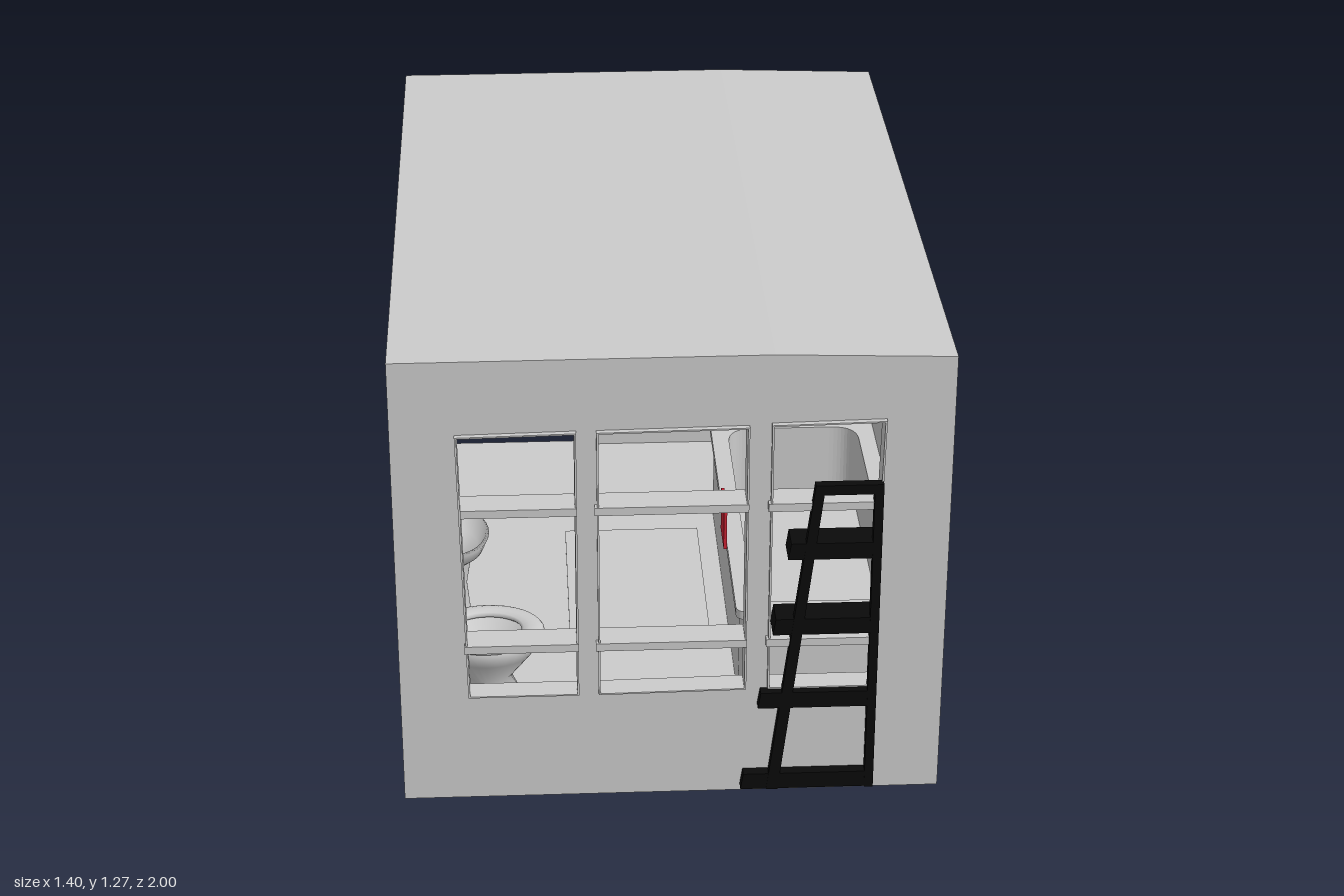
import * as THREE from 'three';
import { RoundedBoxGeometry } from 'three/addons/geometries/RoundedBoxGeometry.js';

const grey = new THREE.MeshStandardMaterial({ color: 0xcccccc, side: THREE.DoubleSide });
const black = new THREE.MeshStandardMaterial({ color: 0x0a0a0a });
const red = new THREE.MeshStandardMaterial({ color: 0xcc2233 });

function add(parent, name, geometry, material = grey) {
  const mesh = new THREE.Mesh(geometry, material);
  mesh.name = name;
  parent.add(mesh);
  return mesh;
}

function group(parent, name) {
  const g = new THREE.Group();
  g.name = name;
  parent.add(g);
  return g;
}

// Box given by its minimum and maximum on each axis
function box(parent, name, [x0, x1], [y0, y1], [z0, z1], material) {
  const mesh = add(parent, name, new THREE.BoxGeometry(x1 - x0, y1 - y0, z1 - z0), material);
  mesh.position.set((x0 + x1) / 2, (y0 + y1) / 2, (z0 + z1) / 2);
  return mesh;
}

// Outline in x and y with holes, extruded from z0 to z1
function panel(parent, name, outline, holes, z0, z1, material) {
  const v = (pts) => pts.map(([x, y]) => new THREE.Vector2(x, y));
  const shape = new THREE.Shape(v(outline));
  holes.forEach((h) => shape.holes.push(new THREE.Path(v(h))));
  const geometry = new THREE.ExtrudeGeometry(shape, { depth: z1 - z0, bevelEnabled: false });
  geometry.translate(0, 0, z0);
  return add(parent, name, geometry, material);
}

function lathe(parent, name, points) {
  return add(parent, name, new THREE.LatheGeometry(points.map(([r, y]) => new THREE.Vector2(r, y)), 32));
}

// Window panes, slightly out of square like the opening
const panes = [
  [[-0.525, 0.315], [-0.24, 0.315], [-0.24, 1.075], [-0.54, 1.07]],
  [[-0.19, 0.315], [0.19, 0.32], [0.19, 1.08], [-0.19, 1.075]],
  [[0.245, 0.32], [0.515, 0.32], [0.53, 1.09], [0.245, 1.085]],
];

function buildShell(model) {
  const shell = group(model, 'roomShell');
  const outline = [[-0.7, 0.01], [0.7, 0.01], [0.7, 1.255], [0.25, 1.27], [-0.7, 1.27]];
  panel(shell, 'frontWall', outline, panes, 0.93, 0.97);
  panel(shell, 'backWall', outline, [[[-0.635, 0.015], [-0.19, 0.015], [-0.19, 1.11], [-0.635, 1.11]]], -1, -0.975);
  box(shell, 'leftWall', [0.685, 0.7], [0.01, 1.255], [-0.99, 0.968]);
  box(shell, 'rightWall', [-0.7, -0.685], [0.01, 1.265], [-0.99, 0.968]);
  box(shell, 'floor', [-0.7, 0.7], [0, 0.015], [-0.998, 0.968]);
  panel(shell, 'roof', [[-0.7, 1.255], [0.25, 1.255], [0.7, 1.245], [0.7, 1.257], [0.25, 1.272], [-0.7, 1.27]], [], -0.999, 0.97);
}

function buildWindow(model) {
  const win = group(model, 'window');
  for (const pane of panes) {
    // Thin lining around each pane
    const cx = (pane[0][0] + pane[1][0]) / 2;
    const inner = pane.map(([x, y]) => [x + (x < cx ? 0.005 : -0.005), y + (y < 0.6 ? 0.004 : -0.004)]);
    panel(win, 'paneFrame', pane, [inner], 0.92, 0.985);
    for (const y of [0.45, 0.845]) {
      box(win, 'glazingBar', [pane[0][0] - 0.006, pane[1][0]], [y, y + 0.022], [0.91, 0.99]);
    }
  }
}

function buildLadder(model) {
  const ladder = group(model, 'ladder');
  box(ladder, 'straightRail', [0.503, 0.526], [0.02, 0.92], [0.975, 1], black);
  panel(ladder, 'slantedRail', [[0.245, 0.02], [0.275, 0.02], [0.38, 0.92], [0.355, 0.92]], [], 0.975, 1, black);
  box(ladder, 'topRung', [0.355, 0.526], [0.894, 0.921], [0.975, 1], black);
  // Steps get wider toward the ground
  [[0.29, 0.71], [0.255, 0.49], [0.22, 0.27], [0.178, 0.022]].forEach(([x, y]) => {
    panel(ladder, 'step', [[x, y], [0.526, y], [0.526, y + 0.046], [x + 0.007, y + 0.046]], [], y > 0.4 ? 0.92 : 0.95, 0.999, black);
  });
}

function buildToilet(model) {
  const toilet = group(model, 'toilet');
  const bowl = lathe(toilet, 'bowl', [[0.06, 0], [0.065, 0.03], [0.05, 0.07], [0.1, 0.15], [0.12, 0.2], [0.09, 0.2], [0.05, 0.12], [0, 0.1]]);
  bowl.scale.x = 1.25;
  const seat = add(toilet, 'seat', new THREE.TorusGeometry(0.1, 0.025, 10, 36));
  seat.rotation.x = Math.PI / 2;
  seat.scale.set(1.25, 1, 0.5);
  seat.position.y = 0.21;
  const lid = add(toilet, 'raisedLid', new THREE.CylinderGeometry(0.125, 0.125, 0.02, 36));
  lid.rotation.z = Math.PI / 2;
  lid.scale.x = 1.25;
  lid.position.set(-0.1, 0.36, 0);
  const tank = add(toilet, 'tank', new RoundedBoxGeometry(0.085, 0.26, 0.27, 3, 0.015));
  tank.position.set(-0.157, 0.33, 0);
  toilet.position.set(-0.48, 0.015, 0.5);
}

function buildSink(model) {
  const sink = group(model, 'sink');
  lathe(sink, 'pedestal', [[0.06, 0], [0.045, 0.03], [0.035, 0.13], [0.05, 0.22]]);
  const basin = lathe(sink, 'basin', [[0.04, 0.2], [0.1, 0.25], [0.12, 0.29], [0.11, 0.295], [0.08, 0.25], [0, 0.23]]);
  basin.scale.set(0.85, 1, 1.2);
  const back = add(sink, 'basinBack', new RoundedBoxGeometry(0.05, 0.07, 0.26, 3, 0.012));
  back.position.set(-0.085, 0.265, 0);
  const path = new THREE.CatmullRomCurve3([[-0.085, 0.29], [-0.08, 0.34], [-0.05, 0.35], [-0.03, 0.33]].map(([x, y]) => new THREE.Vector3(x, y, 0)));
  add(sink, 'tap', new THREE.TubeGeometry(path, 16, 0.008, 10));
  for (const z of [-0.05, 0.05]) {
    const knob = add(sink, 'tapHandle', new THREE.CylinderGeometry(0.012, 0.01, 0.03, 12));
    knob.position.set(-0.085, 0.31, z);
  }
  sink.position.set(-0.575, 0.015, 0.1);
  // Framed mirror on the wall above the basin
  box(model, 'mirror', [-0.686, -0.675], [0.45, 0.78], [-0.06, 0.22]);
}

function buildBath(model) {
  const bath = group(model, 'bath');
  const rect = (s, w, h, r) => s.moveTo(-w + r, -h).lineTo(w - r, -h).quadraticCurveTo(w, -h, w, -h + r)
    .lineTo(w, h - r).quadraticCurveTo(w, h, w - r, h).lineTo(-w + r, h).quadraticCurveTo(-w, h, -w, h - r)
    .lineTo(-w, -h + r).quadraticCurveTo(-w, -h, -w + r, -h);
  const ring = (name, w, h, wall, height, y) => {
    const shape = rect(new THREE.Shape(), w, h, 0.03);
    shape.holes.push(rect(new THREE.Path(), w - wall, h - wall, 0.08));
    const mesh = add(bath, name, new THREE.ExtrudeGeometry(shape, { depth: height, bevelEnabled: false }));
    mesh.rotation.x = -Math.PI / 2;
    mesh.position.y = y;
  };
  ring('tubWall', 0.235, 0.55, 0.04, 0.27, 0);
  ring('tubRim', 0.245, 0.56, 0.05, 0.025, 0.27);
  box(bath, 'tubBottom', [-0.21, 0.21], [0.03, 0.05], [-0.52, 0.52]);
  bath.position.set(0.44, 0.015, 0.02);

  // Gathered curtain at the far end of the bath
  const cloth = new THREE.PlaneGeometry(0.46, 0.8, 64, 1);
  const p = cloth.attributes.position;
  for (let i = 0; i < p.count; i++) p.setZ(i, 0.02 * Math.sin(p.getX(i) * 85));
  cloth.computeVertexNormals();
  add(model, 'showerCurtain', cloth).position.set(0.45, 0.61, -0.56);
  const rod = add(model, 'curtainRod', new THREE.CylinderGeometry(0.006, 0.006, 0.48, 10));
  rod.rotation.z = Math.PI / 2;
  rod.position.set(0.45, 1.01, -0.56);
  // Towel and bath mat
  box(model, 'towel', [0.185, 0.194], [0.3, 0.43], [0.1, 0.22], red);
  box(model, 'bathMat', [-0.25, 0.15], [0.015, 0.022], [-0.4, 0.2]);
}

export function createModel() {
  const model = new THREE.Group();
  model.name = 'bathroom';
  buildShell(model);
  buildWindow(model);
  buildLadder(model);
  buildToilet(model);
  buildSink(model);
  buildBath(model);
  return model;
}
